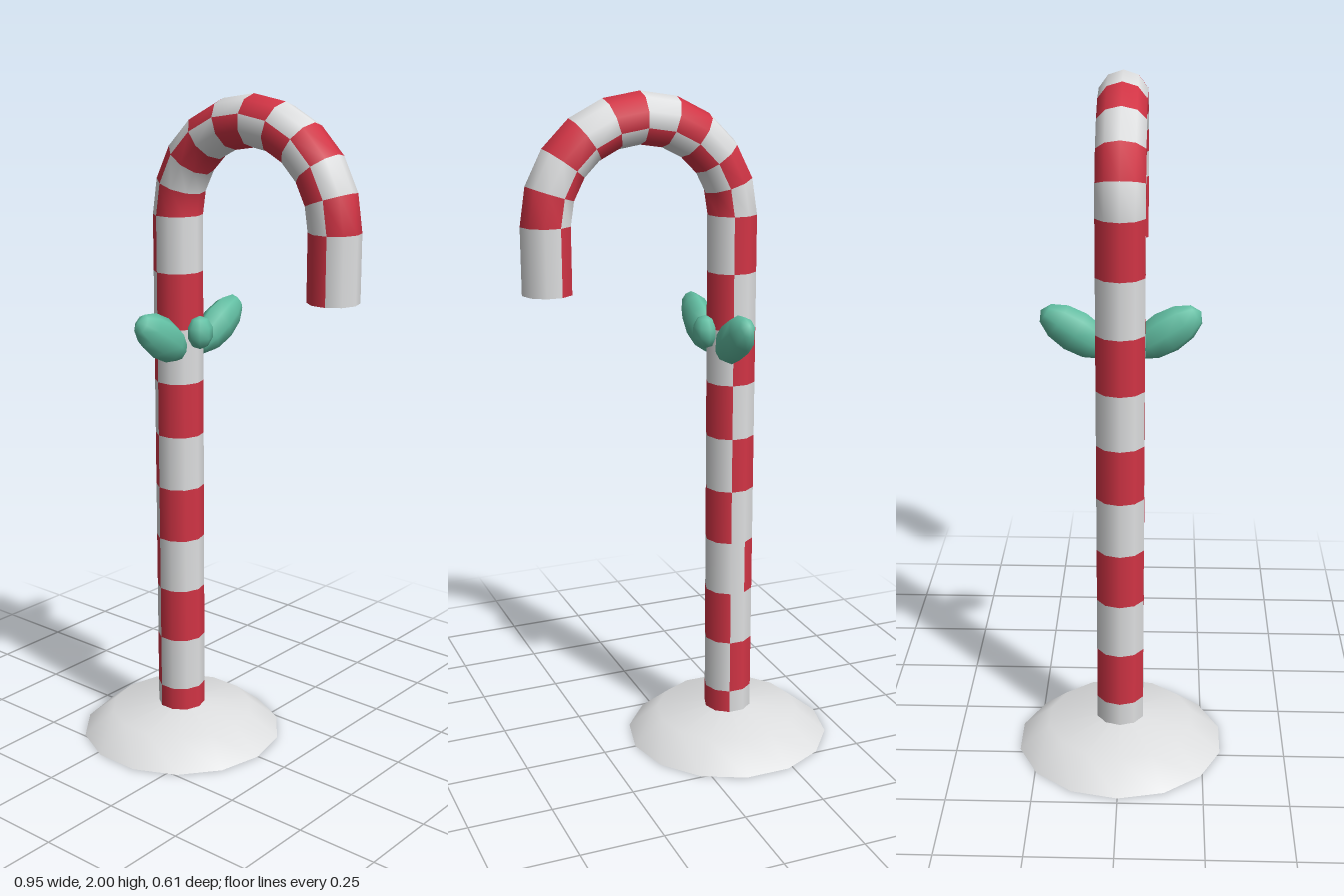
import * as THREE from 'three';

const white = new THREE.MeshStandardMaterial({ color: 0xdedfe0 });
white.name = 'white';
const red = new THREE.MeshStandardMaterial({ color: 0xd23445 });
red.name = 'red';
const green = new THREE.MeshStandardMaterial({ color: 0x62bfa3 });
green.name = 'green';

const POLE_X = -0.165, BEND_X = 0.115, BEND_Y = 1.65, BEND_R = 0.28;
const R = 0.073, SIDES = 10, STEPS = 10, END_Y = 1.46;

function addMesh(parent, name, geometry, material) {
  const mesh = new THREE.Mesh(geometry, material);
  mesh.name = name;
  parent.add(mesh);
  return mesh;
}

// Ten-sided tube along the hook; each row is half red and half white, swapping per row
function caneGeometry() {
  const rings = []; // centre x, y and inward direction nx, ny
  for (let i = 0; i <= STEPS; i++) rings.push([POLE_X, (BEND_Y * i) / STEPS, 1, 0]);
  for (let i = 1; i <= STEPS; i++) {
    const t = (Math.PI * i) / STEPS, c = Math.cos(t), s = Math.sin(t);
    rings.push([BEND_X - BEND_R * c, BEND_Y + BEND_R * s, c, -s]);
  }
  rings.push([BEND_X + BEND_R, END_Y, -1, 0]);

  const positions = [], normals = [];
  for (const [x, y, nx, ny] of rings) {
    for (let j = 0; j < SIDES; j++) {
      const a = (2 * Math.PI * j) / SIDES, c = Math.cos(a), s = Math.sin(a);
      positions.push(x + R * c * nx, y + R * c * ny, R * s);
      normals.push(c * nx, c * ny, s);
    }
  }

  const faces = [[], []]; // red, white
  for (let i = 0; i < rings.length - 1; i++) {
    for (let j = 0; j < SIDES; j++) {
      const k = (j + 1) % SIDES;
      const inner = (j + 2) % SIDES < SIDES / 2;
      let isRed = (i % 2 === 0) === inner;
      if (i === 3 && j === 7) isRed = false; // one irregular stripe corner
      const a = i * SIDES + j, b = i * SIDES + k;
      faces[isRed ? 0 : 1].push(a, a + SIDES, b + SIDES, a, b + SIDES, b);
    }
  }

  const geometry = new THREE.BufferGeometry();
  geometry.setAttribute('position', new THREE.Float32BufferAttribute(positions, 3));
  geometry.setAttribute('normal', new THREE.Float32BufferAttribute(normals, 3));
  geometry.setIndex([...faces[0], ...faces[1]]);
  geometry.addGroup(0, faces[0].length, 0);
  geometry.addGroup(faces[0].length, faces[1].length, 1);
  return geometry;
}

export function createModel() {
  const model = new THREE.Group();
  model.name = 'candyCane';

  // Snow mound with a flat underside
  const profile = [[0.313, 0], [0.222, 0.075], [0, 0.103]].map(([x, y]) => new THREE.Vector2(x, y));
  const mound = new THREE.LatheGeometry(profile, 14, Math.PI / 2);
  addMesh(model, 'snowMound', mound, white).position.x = POLE_X;
  const underside = new THREE.CircleGeometry(0.313, 14).rotateX(Math.PI / 2);
  addMesh(model, 'snowUnderside', underside, white).position.x = POLE_X;

  // Striped cane and its end cap
  addMesh(model, 'cane', caneGeometry(), [red, white]);
  const cap = new THREE.CircleGeometry(R, SIDES).rotateX(Math.PI / 2);
  addMesh(model, 'caneEnd', cap, white).position.set(BEND_X + BEND_R, END_Y, 0);

  // Bow: two tilted loops and a knot
  const bow = new THREE.Group();
  bow.name = 'bow';
  bow.position.set(-0.12, 1.31, 0);
  model.add(bow);
  for (const side of [1, -1]) {
    const loop = addMesh(bow, side > 0 ? 'bowLoopFront' : 'bowLoopBack', new THREE.SphereGeometry(1, 8, 6), green);
    loop.scale.set(0.045, 0.115, 0.062);
    loop.rotation.x = side * 1.0;
    loop.position.z = side * 0.128;
  }
  const knot = addMesh(bow, 'bowKnot', new THREE.SphereGeometry(1, 8, 5), green);
  knot.scale.set(0.037, 0.05, 0.043);
  knot.position.x = 0.038;

  return model;
}
